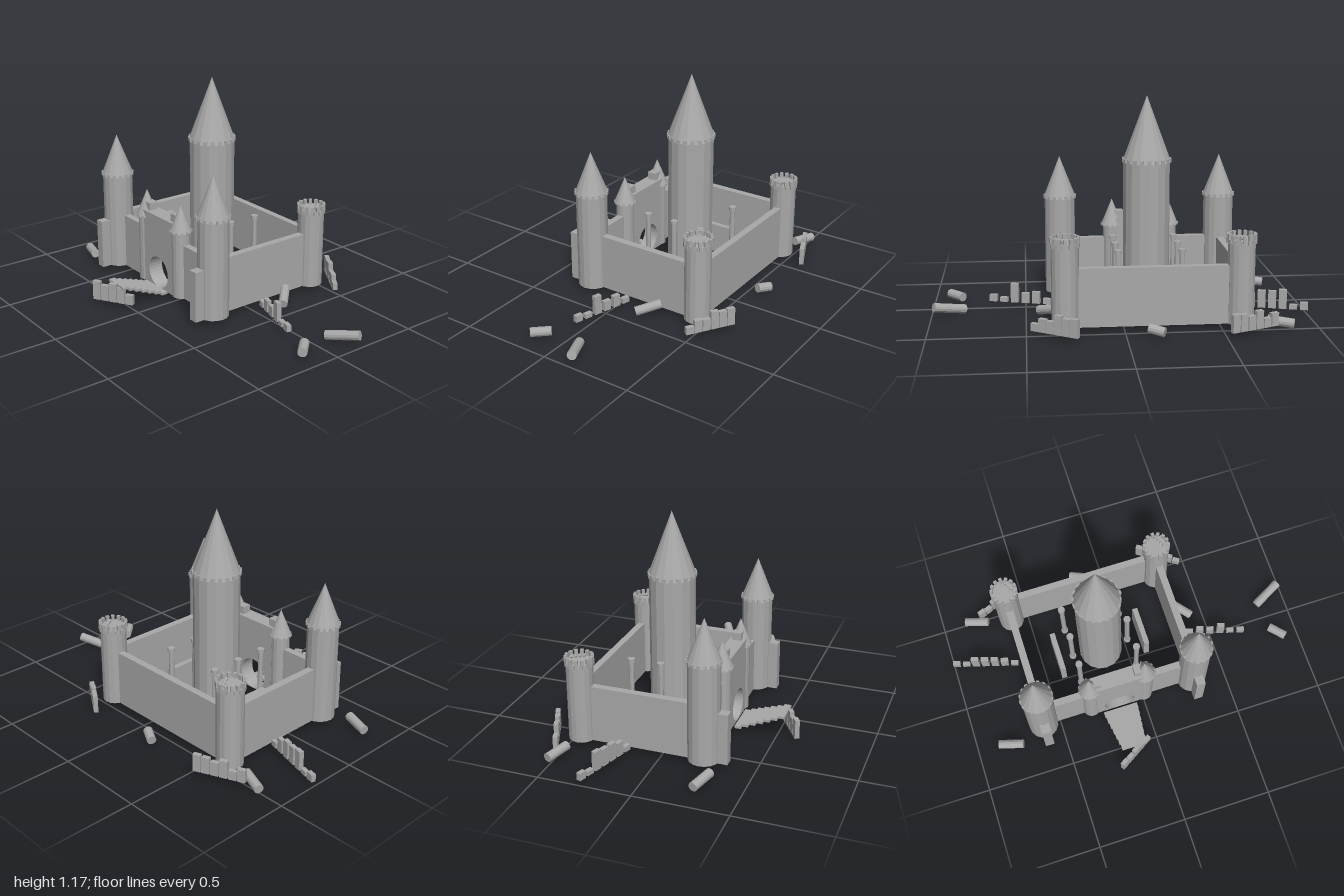
import * as THREE from 'three';

const G = 0.03; // ground level of the castle
const CX = -0.148; // axis of the keep and gate

export function createModel() {
  const root = new THREE.Group();
  root.name = 'ruinedCastle';
  const stone = new THREE.MeshStandardMaterial({ color: 0xa8a8a8, flatShading: true });
  stone.name = 'grey stone';

  const add = (name, geo, x, y, z, parent = root) => {
    const m = new THREE.Mesh(geo, stone);
    m.name = name;
    m.position.set(x, y, z);
    parent.add(m);
    return m;
  };
  const group = (name, x = 0, z = 0) => {
    const g = new THREE.Group();
    g.name = name;
    g.position.set(x, 0, z);
    root.add(g);
    return g;
  };
  // box given by its ground centre, base height and top height
  const block = (name, x, z, w, d, y0, y1, parent = root) =>
    add(name, new THREE.BoxGeometry(w, y1 - y0, d), x, (y0 + y1) / 2, z, parent);
  const drum = (name, r, y0, y1, parent, sides = 16, x = 0, z = 0) =>
    add(name, new THREE.CylinderGeometry(r, r, y1 - y0, sides), x, (y0 + y1) / 2, z, parent);
  // ring of small battlement stones
  const ring = (parent, r, y0, y1, count, w, d) => {
    for (let i = 0; i < count; i++) {
      const a = (i / count) * Math.PI * 2;
      block('battlement', Math.sin(a) * r, Math.cos(a) * r, w, d, y0, y1, parent).rotation.y = a;
    }
  };

  // Towers with pointed roofs
  const roofedTower = (name, x, z, r, eaves, roofR, apex, count, tooth) => {
    const t = group(name, x, z);
    drum('towerBody', r, G, eaves, t);
    add('towerRoof', new THREE.ConeGeometry(roofR, apex - eaves, 16), 0, (eaves + apex) / 2, 0, t);
    ring(t, roofR - tooth * 0.4, eaves - tooth * 0.1, eaves + tooth, count, tooth, tooth * 0.8);
  };
  roofedTower('keep', CX, -0.105, 0.124, 0.817, 0.13, 1.168, 20, 0.02);
  for (const x of [-0.597, 0.302]) roofedTower('frontTower', x, 0.23, 0.084, 0.567, 0.091, 0.8, 16, 0.016);
  for (const x of [-0.306, 0.01]) roofedTower('gateTower', x, 0.225, 0.05, 0.405, 0.062, 0.555, 12, 0.01);

  // Open back towers with two rows of battlements
  for (const x of [-0.597, 0.302]) {
    const t = group('backTower', x, -0.444);
    drum('towerBody', 0.071, G, 0.472, t);
    ring(t, 0.069, 0.45, 0.472, 16, 0.02, 0.016);
    ring(t, 0.069, 0.472, 0.499, 14, 0.018, 0.016);
    for (let i = 0; i < 4; i++) {
      const s = add('rubble', new THREE.IcosahedronGeometry(0.011), 0.005 + i * 0.012, 0.482, -0.045 + i * 0.018, t);
      s.rotation.set(i, i * 2, 0);
    }
  }

  // Curtain walls
  for (const x of [-0.597, 0.302]) {
    block('sideWall', x, -0.107, 0.04, 0.68, G, 0.338);
    block('buttress', x, 0.29, 0.051, 0.145, G, 0.308);
  }
  block('backWall', CX, -0.45, 0.9, 0.038, G, 0.338);
  block('frontWall', -0.44, 0.222, 0.32, 0.038, G, 0.338);
  block('frontWall', 0.148, 0.222, 0.31, 0.038, G, 0.338);

  // Gatehouse with a round opening
  const gate = new THREE.Shape();
  gate.moveTo(-0.14, G);
  gate.lineTo(0.14, G);
  gate.lineTo(0.14, 0.45);
  gate.lineTo(-0.14, 0.45);
  gate.closePath();
  const hole = new THREE.Path();
  hole.absarc(0, 0.121, 0.0895, 0, Math.PI * 2, true);
  gate.holes.push(hole);
  add('gatehouse', new THREE.ExtrudeGeometry(gate, { depth: 0.086, bevelEnabled: false, curveSegments: 16 }), CX, 0, 0.18);
  for (const s of [-1, 1]) block('gateMerlon', CX + s * 0.122, 0.222, 0.05, 0.05, 0.45, 0.492);

  // Entrance steps, narrowing and rising outwards
  for (let i = 0; i < 7; i++) {
    const y = 0.037 + i * 0.0142;
    block('step', CX, 0.296 + i * 0.038, 0.2 - i * 0.0095, 0.036, y - 0.007, y + 0.007);
  }

  // Courtyard columns and low walls
  for (const x of [-0.317, 0.019]) {
    for (const z of [-0.278, -0.11, 0.06]) {
      const c = group('column', x, z);
      drum('shaft', 0.014, G, 0.364, c, 10);
      drum('capital', 0.02, 0.362, 0.382, c, 10);
      drum('plinth', 0.02, G, 0.05, c, 10);
    }
  }
  for (const x of [-0.401, 0.102]) block('courtyardWall', x, -0.11, 0.03, 0.225, G, 0.2);

  // Fallen column drums: two end points each
  const up = new THREE.Vector3(0, 1, 0);
  [
    [-0.865, 0.034, -0.512, -0.735, 0.046, -0.467],
    [-0.875, 0.034, 0.27, -0.74, 0.046, 0.312],
    [-0.186, 0.038, -0.604, -0.112, 0.05, -0.566],
    [0.335, 0.062, -0.24, 0.43, 0.028, -0.142],
    [0.825, 0.026, -0.083, 0.985, 0.062, -0.163],
    [0.845, 0.044, 0.08, 0.918, 0.044, 0.16],
  ].forEach(([ax, ay, az, bx, by, bz]) => {
    const a = new THREE.Vector3(ax, ay, az), b = new THREE.Vector3(bx, by, bz);
    const d = b.clone().sub(a);
    const m = add('fallenColumn', new THREE.CylinderGeometry(0.025, 0.025, d.length(), 12), 0, 0, 0);
    m.position.copy(a).add(b).multiplyScalar(0.5);
    m.quaternion.setFromUnitVectors(up, d.normalize());
  });

  // Rows of broken wall stones: first and last centres, then the top heights
  [
    [-0.757, -0.52, -0.54, -0.612, [0.1, 0.08, 0.125, 0.105, 0.12, 0.125]],
    [-0.98, -0.268, -0.655, -0.172, [0.07, 0.055, 0.135, 0.125, 0.125, 0.105, 0.06]],
    [0.262, -0.618, 0.455, -0.495, [0.125, 0.12, 0.13, 0.095, 0.1, 0.07]],
    [0.385, -0.04, 0.675, 0.043, [0.06, 0.095, 0.085, 0.135, 0.055, 0.067]],
    [-0.228, 0.61, -0.065, 0.51, [0.135, 0.118, 0.135, 0.118, 0.085]],
  ].forEach(([ax, az, bx, bz, tops]) => {
    const row = group('brokenWall');
    tops.forEach((top, i) => {
      const t = i / (tops.length - 1);
      const m = block('wallStone', ax + (bx - ax) * t, az + (bz - az) * t, 0.042, 0.025, G, top, row);
      m.rotation.y = -Math.atan2(bz - az, bx - ax);
    });
  });

  return root;
}
